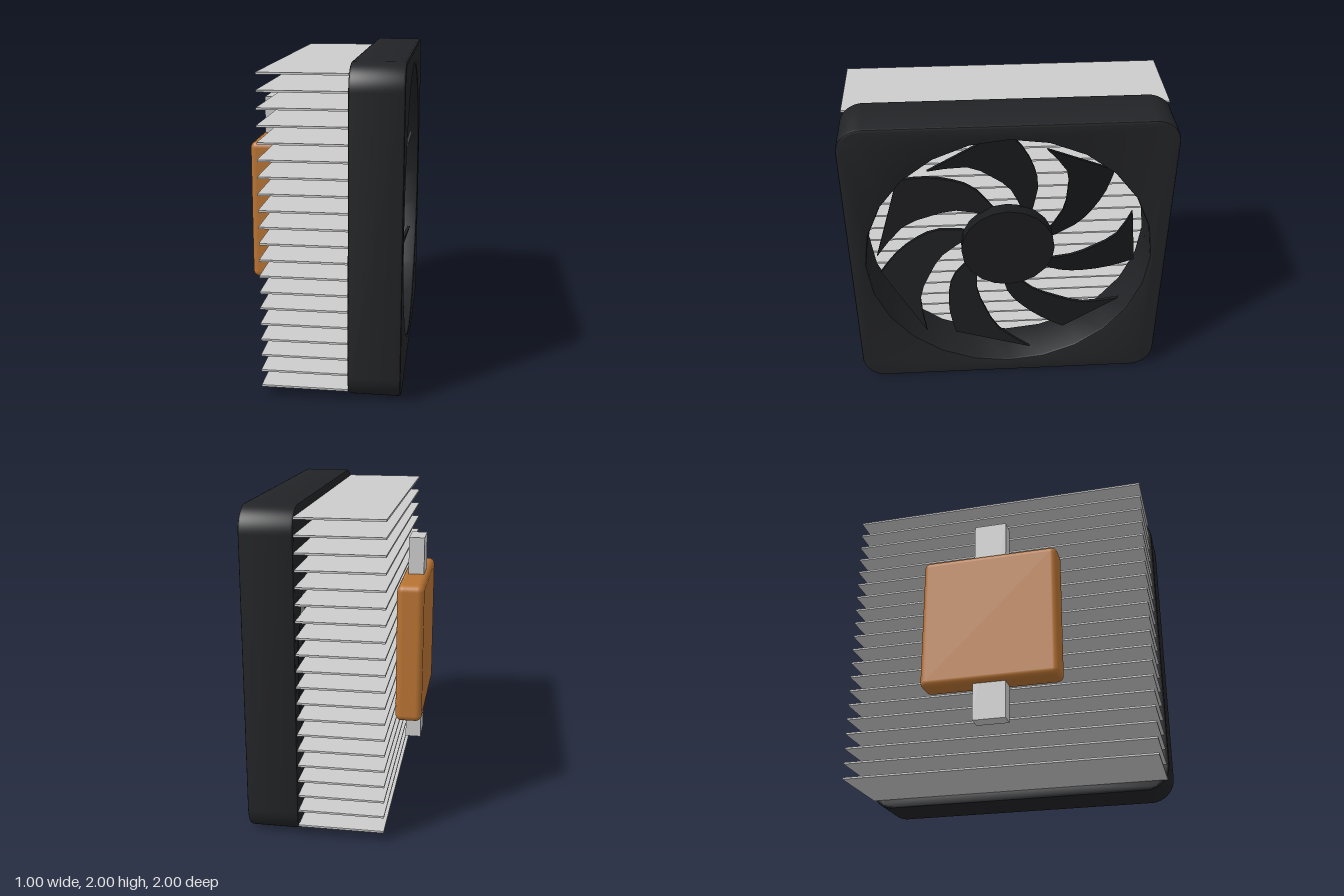
import * as THREE from 'three';
import { toCreasedNormals } from 'three/addons/utils/BufferGeometryUtils.js';
import { RoundedBoxGeometry } from 'three/addons/geometries/RoundedBoxGeometry.js';

const paint = (color) => new THREE.MeshStandardMaterial({ color });

function addMesh(parent, name, geometry, material, x = 0, y = 0, z = 0) {
  const mesh = new THREE.Mesh(geometry, material);
  mesh.name = name;
  mesh.position.set(x, y, z);
  parent.add(mesh);
  return mesh;
}

// Square housing with rounded corners and a round opening
function frameGeometry() {
  const bevel = 0.015, h = 1 - bevel, r = 0.14, c = h - r;
  const shape = new THREE.Shape();
  [[c, c], [-c, c], [-c, -c], [c, -c]].forEach(([x, y], i) =>
    shape.absarc(x, y, r, i * Math.PI / 2, (i + 1) * Math.PI / 2, false));
  shape.closePath();
  const hole = new THREE.Path();
  hole.absarc(0, 0, 0.915, 0, Math.PI * 2, true);
  shape.holes.push(hole);
  const geometry = new THREE.ExtrudeGeometry(shape, {
    depth: 0.315 - 2 * bevel, curveSegments: 12,
    bevelThickness: bevel, bevelSize: bevel, bevelSegments: 2,
  });
  geometry.translate(0, 0, -0.1575 + bevel);
  return toCreasedNormals(geometry, 0.5);
}

// Swept blade, pitched about a radial line
function bladeGeometry() {
  const edge = (points) => new THREE.SplineCurve(
    points.map(([x, y]) => new THREE.Vector2(x, y))).getPoints(8);
  const back = edge([[0.14, 0.18], [0.193, 0.402], [0.166, 0.563], [0.09, 0.724], [-0.016, 0.858]]);
  const front = edge([[-0.488, 0.675], [-0.25, 0.654], [-0.1, 0.552], [0.02, 0.43], [0.1, 0.24]]);
  const thickness = 0.02;
  const geometry = new THREE.ExtrudeGeometry(new THREE.Shape([...back, ...front]), {
    depth: thickness, bevelEnabled: false,
  });
  const axis = THREE.MathUtils.degToRad(98), pitch = 0.27;
  const p = geometry.attributes.position;
  for (let i = 0; i < p.count; i++) {
    const across = p.getY(i) * Math.cos(axis) - p.getX(i) * Math.sin(axis);
    p.setZ(i, p.getZ(i) - thickness / 2 + pitch * across);
  }
  geometry.computeVertexNormals();
  return geometry;
}

export function createModel() {
  const model = new THREE.Group();
  model.name = 'cpuCooler';
  const black = paint(0x222326), dark = paint(0x1a1b1d);
  const grey = paint(0xcccccc), copper = paint(0xb87333);

  // Fan unit, built facing +z and turned to face +x
  const fan = new THREE.Group();
  fan.name = 'fan';
  fan.position.set(0.34, 1, 0);
  fan.rotation.y = Math.PI / 2;
  model.add(fan);
  addMesh(fan, 'fanFrame', frameGeometry(), black);

  const hub = new THREE.CylinderGeometry(0.3, 0.3, 0.085, 20);
  hub.rotateX(Math.PI / 2);
  addMesh(fan, 'fanHub', toCreasedNormals(hub, 0.6), dark);

  const blade = bladeGeometry();
  for (let i = 0; i < 7; i++) {
    addMesh(fan, 'fanBlade', blade, dark).rotation.z = i * Math.PI * 2 / 7;
  }

  // Stack of cooling fins
  const fins = new THREE.Group();
  fins.name = 'coolingFins';
  model.add(fins);
  const fin = new THREE.BoxGeometry(0.52, 0.012, 1.97);
  for (let i = 0; i < 20; i++) {
    addMesh(fins, 'coolingFin', fin, grey, -0.075, 0.067 + i * 0.0986, 0);
  }

  // Copper base plate and the mounting bar through it
  addMesh(model, 'basePlate', new RoundedBoxGeometry(0.168, 0.89, 0.89, 4, 0.04),
    copper, -0.416, 1.005, 0);
  addMesh(model, 'mountingBar', new THREE.BoxGeometry(0.1, 1.365, 0.21),
    grey, -0.42, 1.005, 0);

  return model;
}
